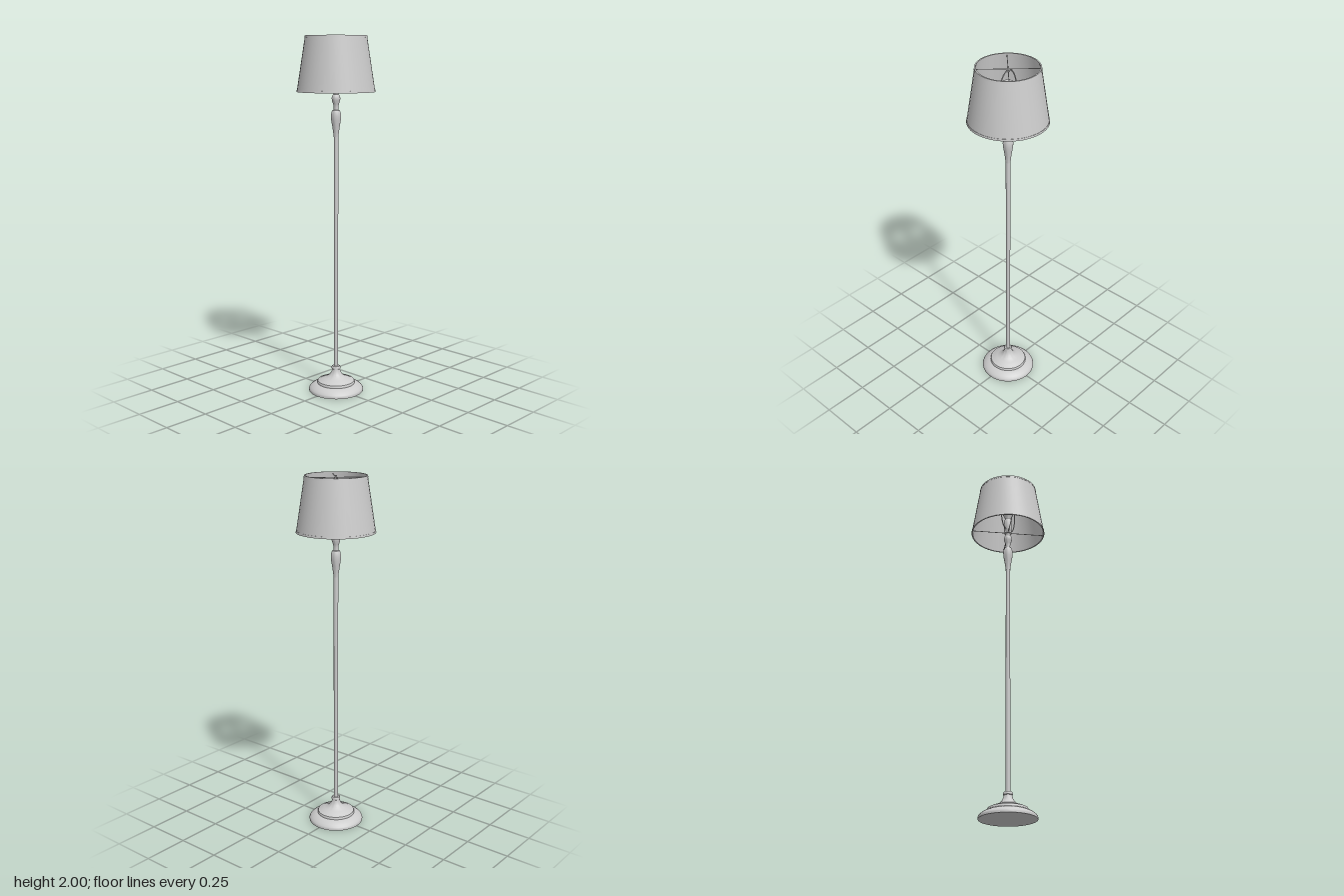
import * as THREE from 'three';
import { toCreasedNormals } from 'three/addons/utils/BufferGeometryUtils.js';

const grey = new THREE.MeshStandardMaterial({ color: 0xcccccc });
grey.name = 'light grey';

export function createModel() {
  const model = new THREE.Group();
  model.name = 'floorLamp';

  const add = (name, geometry, parent = model) => {
    const mesh = new THREE.Mesh(geometry, grey);
    mesh.name = name;
    parent.add(mesh);
    return mesh;
  };
  // Turned part from [radius, height] pairs, listed bottom to top
  const turned = (name, profile, sides = 32) => {
    const points = profile.map(([r, y]) => new THREE.Vector2(r, y));
    return add(name, toCreasedNormals(new THREE.LatheGeometry(points, sides), 0.6));
  };
  // Thin rod between two points
  const wire = (name, points, radius, parent) =>
    add(name, new THREE.TubeGeometry(new THREE.CatmullRomCurve3(points), points.length * 6, radius, 8), parent);

  // Stepped, bell-shaped foot
  turned('base', [
    [0, 0], [0.155, 0], [0.156, 0.008], [0.152, 0.017], [0.142, 0.027], [0.128, 0.036],
    [0.115, 0.042], [0.107, 0.044], [0.107, 0.052], [0.104, 0.058], [0.09, 0.063],
    [0.086, 0.066], [0.066, 0.073], [0.046, 0.083], [0.033, 0.096], [0.025, 0.112],
    [0.022, 0.126], [0.025, 0.128], [0.025, 0.138], [0.022, 0.143], [0.012, 0.143],
  ], 40);

  // Straight pole
  turned('pole', [[0.0125, 0.14], [0.0125, 1.47]], 20);

  // Vase-shaped turning and neck above the pole
  turned('turnedNeck', [
    [0, 1.455], [0.0135, 1.455], [0.015, 1.475], [0.02, 1.51], [0.026, 1.545], [0.028, 1.57],
    [0.025, 1.59], [0.021, 1.6], [0.014, 1.602], [0.013, 1.62], [0.016, 1.635],
    [0.022, 1.652], [0.024, 1.665], [0.021, 1.678], [0.014, 1.687],
    [0.014, 1.7], [0.021, 1.703], [0.021, 1.712], [0, 1.712],
  ], 24);

  // Bulb holder and bulb
  turned('socket', [
    [0, 1.71], [0.018, 1.71], [0.024, 1.722], [0.024, 1.785], [0.02, 1.795], [0, 1.795],
  ], 24);
  turned('bulb', [
    [0.015, 1.79], [0.018, 1.81], [0.03, 1.835], [0.041, 1.855], [0.045, 1.877],
    [0.041, 1.9], [0.031, 1.915], [0.016, 1.925], [0, 1.928],
  ], 24);

  // Wire harp around the bulb
  const half = [[0.02, 1.725], [0.045, 1.745], [0.062, 1.8], [0.065, 1.86], [0.055, 1.92], [0.032, 1.965]];
  wire('harp', [
    ...half.map(([x, y]) => new THREE.Vector3(-x, y, 0)),
    new THREE.Vector3(0, 1.983, 0),
    ...half.slice().reverse().map(([x, y]) => new THREE.Vector3(x, y, 0)),
  ], 0.003);
  turned('finial', [[0, 1.975], [0.011, 1.975], [0.011, 1.987], [0.006, 1.99], [0.006, 1.998], [0, 1.998]], 12);

  // Tapered shade, hollow, with a wall on both sides
  turned('shade', [
    [0.211, 1.703], [0.213, 1.703], [0.167, 1.997], [0.163, 1.997], [0.209, 1.703], [0.211, 1.703],
  ], 40);

  // Trim bands on the two edges of the shade
  for (const [name, r, y, h, taper] of [['bottomTrim', 0.215, 1.7, 0.011, 0.0017], ['topTrim', 0.1695, 1.989, 0.011, 0.0017]]) {
    turned(name, [
      [r - 0.007, y], [r, y], [r - taper, y + h], [r - taper - 0.007, y + h], [r - 0.007, y],
    ], 40);
  }

  // Crossed diagonal arms holding the shade at each edge
  for (const [name, y, r] of [['topSpider', 1.988, 0.163], ['bottomSpider', 1.706, 0.209]]) {
    const spider = new THREE.Group();
    spider.name = name;
    model.add(spider);
    for (let i = 0; i < 4; i++) {
      const a = Math.PI / 4 + i * Math.PI / 2;
      wire('spiderArm', [
        new THREE.Vector3(0, y, 0),
        new THREE.Vector3(r * Math.cos(a), y, r * Math.sin(a)),
      ], 0.002, spider);
    }
  }

  return model;
}
